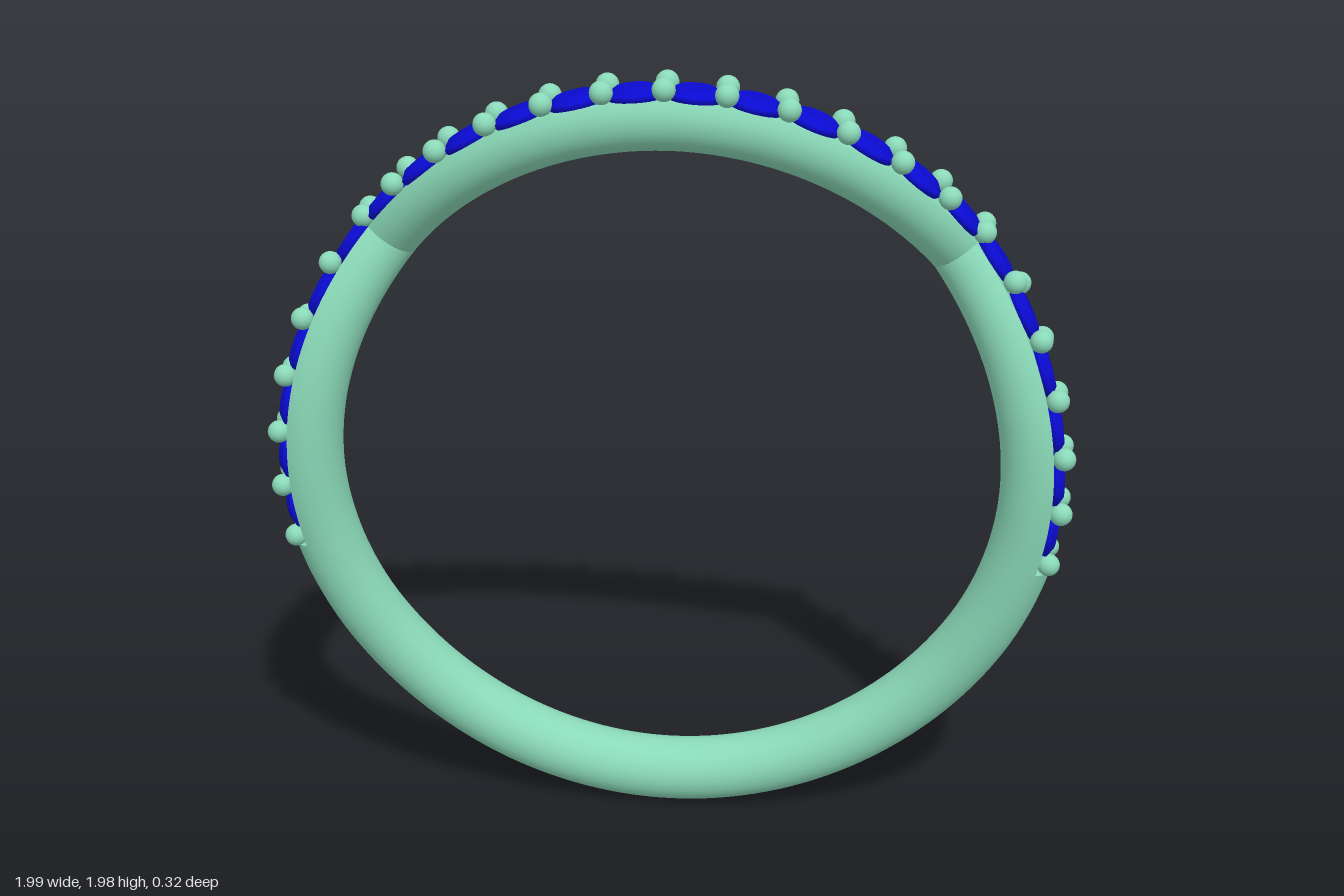
import * as THREE from 'three';
import { toCreasedNormals } from 'three/addons/utils/BufferGeometryUtils.js';

const CY = 0.985;        // ring centre height
const RING = 0.902;      // radius of the band's centre line
const TUBE = 0.083;      // radius of the band's section
const PEAK = 51;         // angle of the sharp bend, degrees from the top
const END = 104;         // angle where the stone setting ends
const STEP = 8.5;        // angle between neighbouring stones
const rad = THREE.MathUtils.degToRad;

// z of the centre line below the bend, evenly spaced in angle (first knot only steers the slope)
const lowerZ = new THREE.SplineCurve(
  [-0.18, -0.07, 0.005, 0.041, 0.04, 0.015, -0.015, -0.045, -0.063, -0.07, -0.072, -0.072]
    .map((z, i) => new THREE.Vector2(i, z)));

function zAt(deg) {
  let a = Math.abs(deg);
  if (a > 180) a = 360 - a;
  if (a <= PEAK) return 0.079 - 0.149 * Math.pow(a / PEAK, 2.2);
  return lowerZ.getPoint((1 + 10 * (a - PEAK) / (180 - PEAK)) / 11).y;
}

// Point on the ring at an angle and distance from the axis
function ringPoint(deg, radius, z) {
  const a = rad(deg);
  return new THREE.Vector3(radius * Math.sin(a), CY + radius * Math.cos(a), z);
}

// Closed length of band; "flat" shaves the outer side to seat the stones
function bandGeometry(a0, a1, steps, flat) {
  const SIDES = 36, pos = [], idx = [];
  for (let i = 0; i <= steps; i++) {
    const a = a0 + (a1 - a0) * i / steps;
    const s = THREE.MathUtils.clamp(a, a0 + 0.5, a1 - 0.5);
    const slope = (zAt(s + 0.4) - zAt(s - 0.4)) / (rad(0.8) * RING);
    const widen = Math.sqrt(1 + slope * slope);
    for (let j = 0; j < SIDES; j++) {
      const t = j / SIDES * Math.PI * 2;
      const out = flat ? Math.min(Math.cos(t), 0.5) : Math.cos(t);
      pos.push(...ringPoint(a, RING + TUBE * out, zAt(a) + TUBE * widen * Math.sin(t)).toArray());
    }
  }
  for (let i = 0; i < steps; i++) {
    for (let j = 0; j < SIDES; j++) {
      const k = (j + 1) % SIDES;
      const p = i * SIDES + j, q = i * SIDES + k;
      idx.push(p, q, p + SIDES, q, q + SIDES, p + SIDES);
    }
  }
  // End caps
  const first = pos.length / 3;
  for (const a of [a0, a1]) pos.push(...ringPoint(a, RING, zAt(a)).toArray());
  for (let j = 0; j < SIDES; j++) {
    const k = (j + 1) % SIDES, last = steps * SIDES;
    idx.push(first, k, j, first + 1, last + j, last + k);
  }
  const g = new THREE.BufferGeometry();
  g.setAttribute('position', new THREE.Float32BufferAttribute(pos, 3));
  g.setIndex(idx);
  return toCreasedNormals(g, rad(35));
}

export function createModel() {
  const model = new THREE.Group();
  model.name = 'ring';
  const metal = new THREE.MeshStandardMaterial({ color: 0x8ad9b8 });
  const blue = new THREE.MeshStandardMaterial({ color: 0x0a0ad0 });

  const add = (parent, name, geometry, material) => {
    const mesh = new THREE.Mesh(geometry, material);
    mesh.name = name;
    parent.add(mesh);
    return mesh;
  };

  // Band: plain lower arc, two side arcs and the top arch
  add(model, 'lowerBand', bandGeometry(END, 360 - END, 80, false), metal);
  add(model, 'leftBand', bandGeometry(PEAK, END, 30, true), metal);
  add(model, 'rightBand', bandGeometry(-END, -PEAK, 30, true), metal);
  add(model, 'topBand', bandGeometry(-PEAK, PEAK, 60, true), metal);

  // Round stones with a bevelled crown
  const stones = new THREE.Group();
  stones.name = 'stones';
  model.add(stones);
  const stoneGeometry = toCreasedNormals(new THREE.LatheGeometry(
    [[0, -0.02], [0.05, -0.02], [0.068, 0.012], [0.068, 0.018], [0.045, 0.034], [0, 0.036]]
      .map(([x, y]) => new THREE.Vector2(x, y)), 20), rad(25));
  for (let k = -12; k < 12; k++) {
    const a = (k + 0.5) * STEP;
    const stone = add(stones, 'stone', stoneGeometry, blue);
    stone.position.copy(ringPoint(a, 0.938, zAt(a)));
    stone.rotation.z = -rad(a);
  }

  // Pairs of bead prongs between the stones
  const prongs = new THREE.Group();
  prongs.name = 'prongs';
  model.add(prongs);
  const beadGeometry = new THREE.SphereGeometry(0.028, 20, 14);
  for (let k = -12; k <= 12; k++) {
    const a = k * STEP;
    const slope = (zAt(a + 2) - zAt(a - 2)) / (rad(4) * RING);
    const lean = Math.atan(slope);
    for (const side of [-1, 1]) {
      const shift = -side * 0.044 * Math.sin(lean) / RING;
      const bead = add(prongs, 'prong', beadGeometry, metal);
      bead.position.copy(ringPoint(a + THREE.MathUtils.radToDeg(shift), 0.97,
        zAt(a) + side * 0.044 * Math.cos(lean)));
    }
  }
  return model;
}
